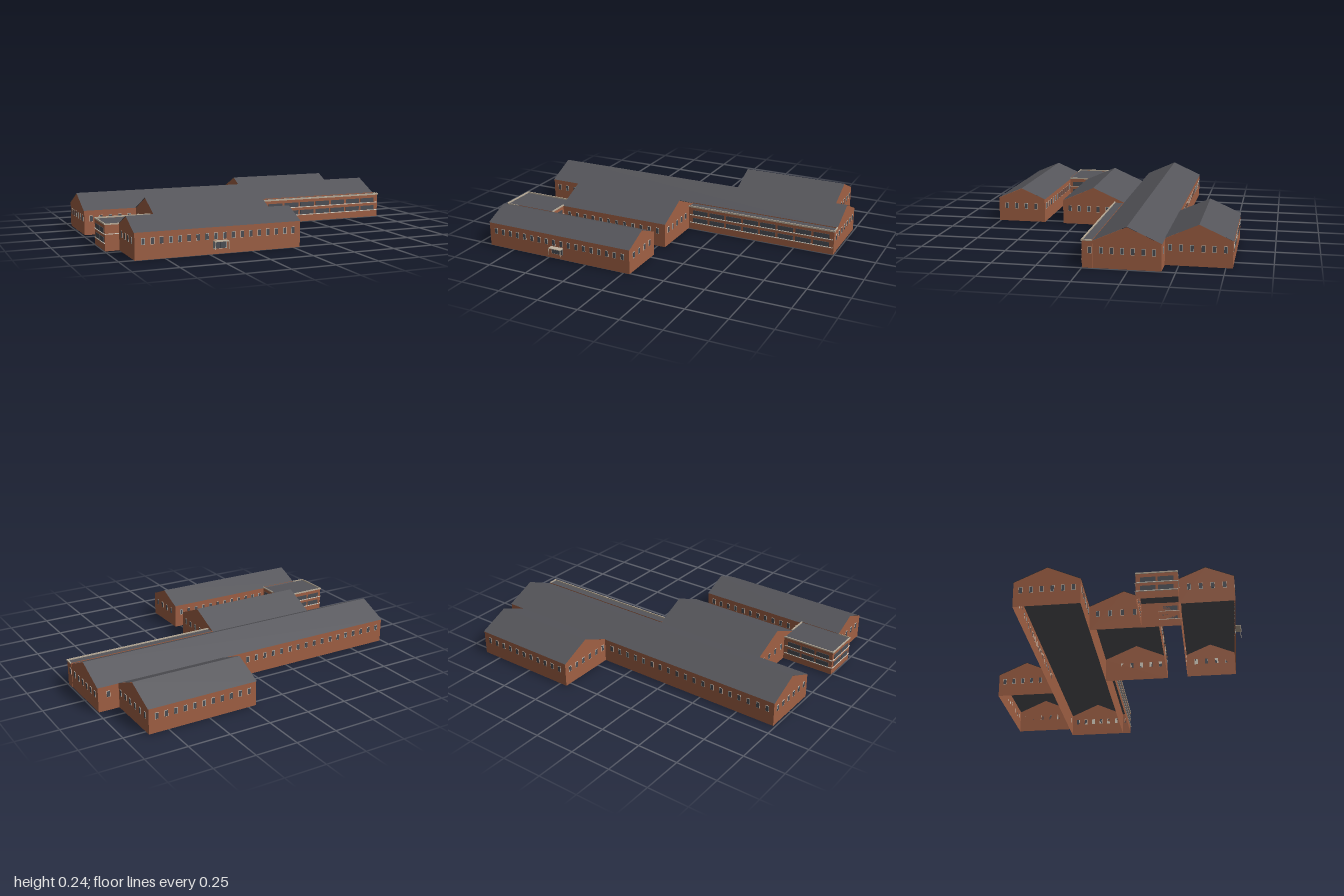
import * as THREE from 'three';

const mat = (name, color) => new THREE.MeshStandardMaterial({ name, color, side: THREE.DoubleSide });

export function createModel() {
  const model = new THREE.Group();
  model.name = 'brickComplex';
  const brick = mat('brick', 0xa06044);
  const slate = mat('slate', 0x55555a);
  const glass = mat('glass', 0x4b4e55);
  const trim = mat('paleTrim', 0xd8d0c2);
  const stone = mat('stone', 0xbdb09c);

  const add = (parent, name, geo, material, x = 0, y = 0, z = 0) => {
    const m = new THREE.Mesh(geo, material);
    m.name = name;
    m.position.set(x, y, z);
    parent.add(m);
    return m;
  };
  const box = (parent, name, material, w, h, d, x, y, z) =>
    add(parent, name, new THREE.BoxGeometry(w, h, d), material, x, y, z);

  // Sheet swept along x from a (z, y) section, upper or outer face forward
  function sweep(section, x0, x1) {
    const pos = [];
    for (let i = 0; i + 1 < section.length; i++) {
      const [za, ya] = section[i], [zb, yb] = section[i + 1];
      pos.push(x0, ya, za, x0, yb, zb, x1, yb, zb, x0, ya, za, x1, yb, zb, x1, ya, za);
    }
    const g = new THREE.BufferGeometry();
    g.setAttribute('position', new THREE.Float32BufferAttribute(pos, 3));
    g.computeVertexNormals();
    return g;
  }

  // End wall from a (z, y) outline, facing +x or -x
  function endWall(parent, outline, x, dir) {
    const shape = new THREE.Shape(outline.map(([z, y]) => new THREE.Vector2(-dir * z, y)));
    add(parent, 'endWall', new THREE.ShapeGeometry(shape), brick, x, 0, 0).rotation.y = dir * Math.PI / 2;
  }

  // Wall-mounted holder: local x runs along the wall, local z points outward
  function wallFace(parent, side, at) {
    const f = new THREE.Group();
    f.name = side + 'WallDetails';
    f.rotation.y = { front: 0, back: Math.PI, left: Math.PI / 2, right: -Math.PI / 2 }[side];
    if (side === 'front' || side === 'back') f.position.z = at;
    else f.position.x = at;
    parent.add(f);
    const flip = side === 'back' || side === 'left' ? -1 : 1;
    return { f, flip };
  }

  // Evenly spaced small windows, from centre a to centre b along a wall
  function windowRow(parent, side, at, a, b, n) {
    const { f, flip } = wallFace(parent, side, at);
    for (let i = 0; i < n; i++) {
      const u = flip * (n > 1 ? a + (b - a) * i / (n - 1) : a);
      box(f, 'windowFrame', trim, 0.021, 0.037, 0.002, u, 0.099, 0.001);
      box(f, 'windowPane', glass, 0.017, 0.033, 0.003, u, 0.099, 0.0015);
    }
  }

  // Two storeys of broad windows with sills
  function windowBands(parent, side, at, a, b, n) {
    const { f, flip } = wallFace(parent, side, at);
    const step = (b - a) / n, mid = flip * (a + b) / 2;
    for (const y of [0.061, 0.112]) {
      for (let i = 0; i < n; i++) {
        const u = flip * (a + step * (i + 0.5));
        box(f, 'broadWindow', glass, step * 0.87, 0.028, 0.003, u, y, 0.0015);
      }
      box(f, 'sill', trim, b - a + 0.03, 0.004, 0.005, mid, y - 0.017, 0.0025);
    }
  }

  // Open-bottomed hall with a pitched roof
  function hall(name, x0, x1, z0, z1, ridge) {
    const g = new THREE.Group();
    g.name = name;
    model.add(g);
    const e = 0.148, zm = (z0 + z1) / 2, o = 0.003;
    add(g, 'backWall', sweep([[z0, 0], [z0, e]], x0, x1), brick);
    add(g, 'frontWall', sweep([[z1, e], [z1, 0]], x0, x1), brick);
    const outline = [[z0, 0], [z1, 0], [z1, e], [zm, ridge - 0.002], [z0, e]];
    endWall(g, outline, x1, 1);
    endWall(g, outline, x0, -1);
    add(g, 'pitchedRoof', sweep([[z0 - o, e], [zm, ridge], [z1 + o, e]], x0 - o, x1 + o), slate);
    return g;
  }

  // Flat-roofed block with a parapet
  function flatBlock(name, x0, x1, z0, z1) {
    const g = new THREE.Group();
    g.name = name;
    model.add(g);
    const h = 0.154;
    add(g, 'backWall', sweep([[z0, 0], [z0, h]], x0, x1), brick);
    add(g, 'frontWall', sweep([[z1, h], [z1, 0]], x0, x1), brick);
    const outline = [[z0, 0], [z1, 0], [z1, h], [z0, h]];
    endWall(g, outline, x1, 1);
    endWall(g, outline, x0, -1);
    add(g, 'flatRoof', sweep([[z0, 0.147], [z1, 0.147]], x0, x1), slate);
    return g;
  }

  // Long main hall
  const main = hall('mainHall', -0.987, 0.992, -0.425, -0.057, 0.232);
  windowRow(main, 'back', -0.425, -0.945, 0.15, 19);
  windowRow(main, 'back', -0.425, 0.93, 0.93, 1);
  windowRow(main, 'front', -0.057, -0.945, -0.71, 5);
  windowRow(main, 'left', 0.992, -0.105, -0.385, 6);
  windowRow(main, 'right', -0.987, -0.095, -0.385, 6);

  // Rear hall
  const rear = hall('rearHall', 0.203, 0.867, -0.787, -0.425, 0.23);
  windowRow(rear, 'back', -0.787, 0.25, 0.82, 11);
  windowRow(rear, 'left', 0.867, -0.748, -0.452, 6);
  windowRow(rear, 'right', 0.203, -0.748, -0.452, 6);

  // Middle hall
  const middle = hall('middleHall', -0.667, 0.049, -0.057, 0.335, 0.236);
  windowRow(middle, 'front', 0.335, -0.62, 0, 12);
  windowRow(middle, 'left', 0.049, 0.05, 0.29, 5);
  windowRow(middle, 'right', -0.667, -0.01, 0.2, 4);

  // Front hall
  const front = hall('frontHall', -0.916, 0.039, 0.458, 0.758, 0.214);
  windowRow(front, 'front', 0.758, -0.87, -0.005, 18);
  windowRow(front, 'back', 0.458, -0.63, -0.005, 12);
  windowRow(front, 'left', 0.039, 0.516, 0.706, 4);
  windowRow(front, 'right', -0.916, 0.516, 0.706, 4);

  // Entrance with doors and canopy
  const entrance = new THREE.Group();
  entrance.name = 'entrance';
  model.add(entrance);
  box(entrance, 'doorFrame', trim, 0.078, 0.042, 0.002, -0.44, 0.05, 0.759);
  for (let i = 0; i < 4; i++)
    box(entrance, 'doorPanel', glass, 0.0175, 0.038, 0.004, -0.44 + (i - 1.5) * 0.0188, 0.05, 0.76);
  box(entrance, 'canopy', stone, 0.082, 0.004, 0.034, -0.44, 0.073, 0.775);
  for (const s of [-1, 1])
    box(entrance, 'canopyPost', stone, 0.003, 0.042, 0.003, -0.44 + s * 0.039, 0.051, 0.7905);

  // Side block, with coping on its parapet
  const side = flatBlock('sideBlock', -0.996, -0.664, 0.238, 0.462);
  windowBands(side, 'right', -0.996, 0.255, 0.445, 2);
  windowBands(side, 'back', 0.238, -0.98, -0.69, 3);
  windowBands(side, 'left', -0.664, 0.35, 0.448, 1);
  box(side, 'sill', trim, 0.08, 0.004, 0.004, -0.957, 0.095, 0.463);
  box(side, 'coping', stone, 0.336, 0.008, 0.006, -0.832, 0.152, 0.238);
  box(side, 'coping', stone, 0.006, 0.008, 0.224, -0.997, 0.152, 0.35);
  box(side, 'coping', stone, 0.006, 0.008, 0.126, -0.664, 0.152, 0.399);
  box(side, 'coping', stone, 0.08, 0.008, 0.003, -0.957, 0.15, 0.462);

  // Glazed gallery along the main hall
  const gallery = flatBlock('gallery', 0.05, 0.994, -0.056, 0);
  windowBands(gallery, 'front', 0, 0.073, 0.973, 8);
  windowRow(gallery, 'left', 0.994, -0.043, -0.043, 1);
  box(gallery, 'coping', stone, 0.948, 0.01, 0.006, 0.524, 0.15, 0.001);
  box(gallery, 'coping', stone, 0.006, 0.008, 0.056, 0.995, 0.152, -0.028);

  return model;
}
